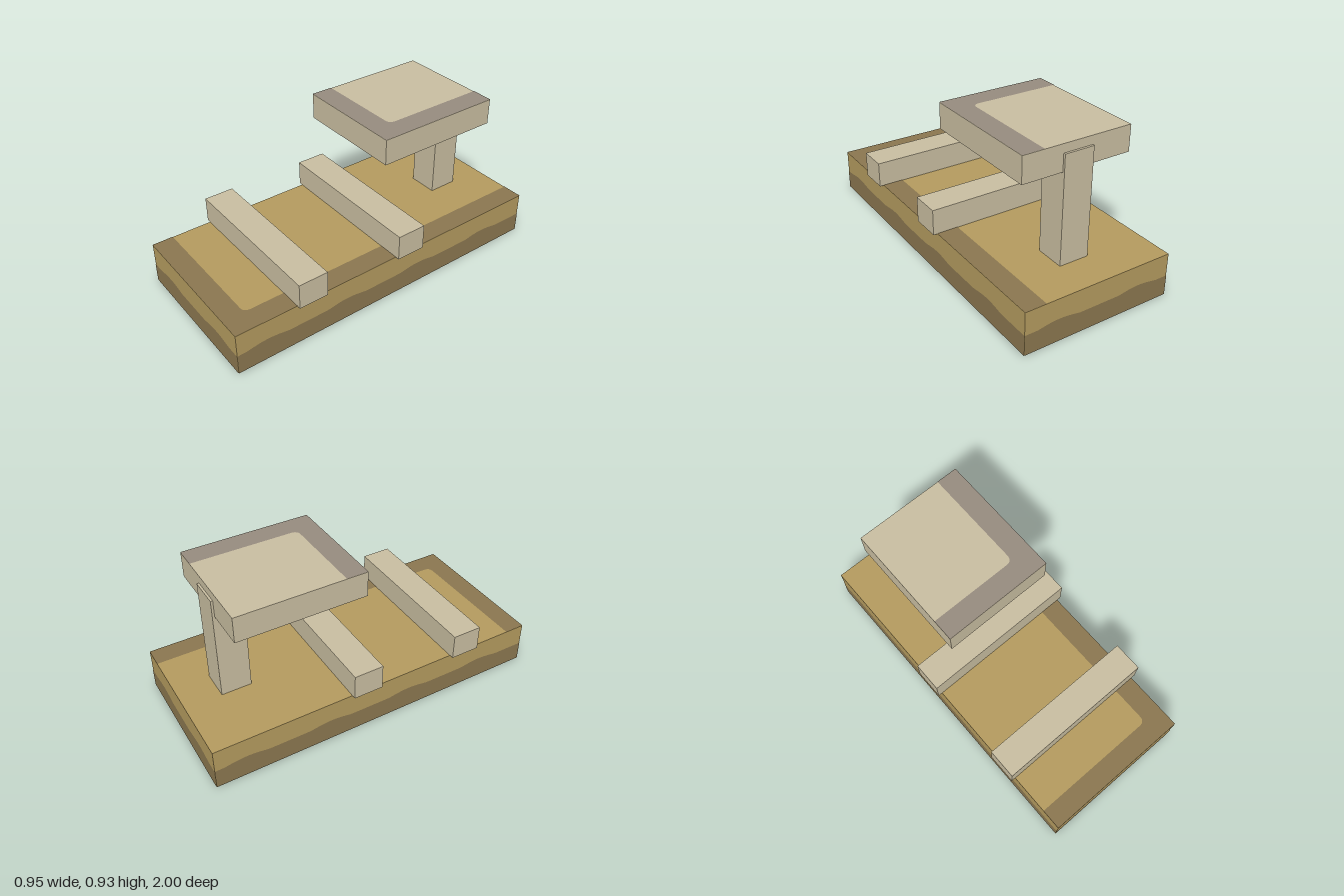
import * as THREE from 'three';

const mat = (name, color) => {
  const m = new THREE.MeshStandardMaterial({ color });
  m.name = name;
  return m;
};

export function createModel() {
  const group = new THREE.Group();
  const tan = mat('tan', 0xb39a5e);
  const brown = mat('brown', 0x8a764f);
  const cream = mat('cream', 0xc8bda0);
  const grey = mat('grey', 0x968b7e);
  const GAP = 0.002; // lift of painted faces above the blocks

  const add = (name, geometry, material, x, y, z) => {
    const mesh = new THREE.Mesh(geometry, material);
    mesh.name = name;
    mesh.position.set(x, y, z);
    group.add(mesh);
    return mesh;
  };
  const block = (name, material, w, h, d, x, y, z) =>
    add(name, new THREE.BoxGeometry(w, h, d), material, x, y, z);

  // L-shaped border along the +x and -y edges, with a rounded inner corner
  const borderGeometry = (w, d, m) => {
    const x = w / 2, y = d / 2, r = 0.04;
    const s = new THREE.Shape();
    s.moveTo(-x, -y);
    s.lineTo(x, -y);
    s.lineTo(x, y);
    s.lineTo(x - m, y);
    s.lineTo(x - m, -y + m + r);
    s.quadraticCurveTo(x - m, -y + m, x - m - r, -y + m);
    s.lineTo(-x, -y + m);
    s.closePath();
    return new THREE.ShapeGeometry(s);
  };
  const borders = (name, material, w, d, m, bottom, top, z) => {
    const geometry = borderGeometry(w, d, m);
    add(name + 'TopBorder', geometry, material, 0, top + GAP, z).rotation.x = -Math.PI / 2;
    add(name + 'BottomBorder', geometry, material, 0, bottom - GAP, z).rotation.x = Math.PI / 2;
  };

  // Lower band with a gently waved upper edge
  const bandGeometry = (length, phase) => {
    const s = new THREE.Shape();
    const n = Math.round(length * 40);
    s.moveTo(-length / 2, 0);
    s.lineTo(length / 2, 0);
    for (let i = n; i >= 0; i--) {
      const u = (i / n - 0.5) * length;
      const wave = Math.max(0, Math.cos((u - phase) * Math.PI * 4));
      s.lineTo(u, 0.118 + 0.015 * wave);
    }
    s.closePath();
    return new THREE.ShapeGeometry(s);
  };

  // Base block with its darker borders and bands
  block('base', tan, 0.9, 0.25, 2, 0, 0.125, 0);
  borders('base', brown, 0.9, 2, 0.123, 0, 0.25, 0);
  for (let i = 0; i < 4; i++) {
    const end = i % 2 === 0;
    const angle = i * Math.PI / 2;
    const reach = (end ? 1 : 0.45) + GAP;
    const geometry = bandGeometry(end ? 0.9 : 2, end ? 0.25 : 0.18);
    add('baseBand', geometry, brown, Math.sin(angle) * reach, 0, Math.cos(angle) * reach).rotation.y = angle;
  }

  // Two crossbars
  for (const z of [0.55, -0.1]) block('crossbar', cream, 0.95, 0.15, 0.175, 0, 0.325, z);

  // Post and the slab it carries
  block('post', cream, 0.175, 0.625, 0.175, 0, 0.5625, -0.7);
  block('slab', cream, 0.65, 0.15, 0.75, 0, 0.85, -0.4);
  borders('slab', grey, 0.65, 0.75, 0.126, 0.775, 0.925, -0.4);

  return group;
}
